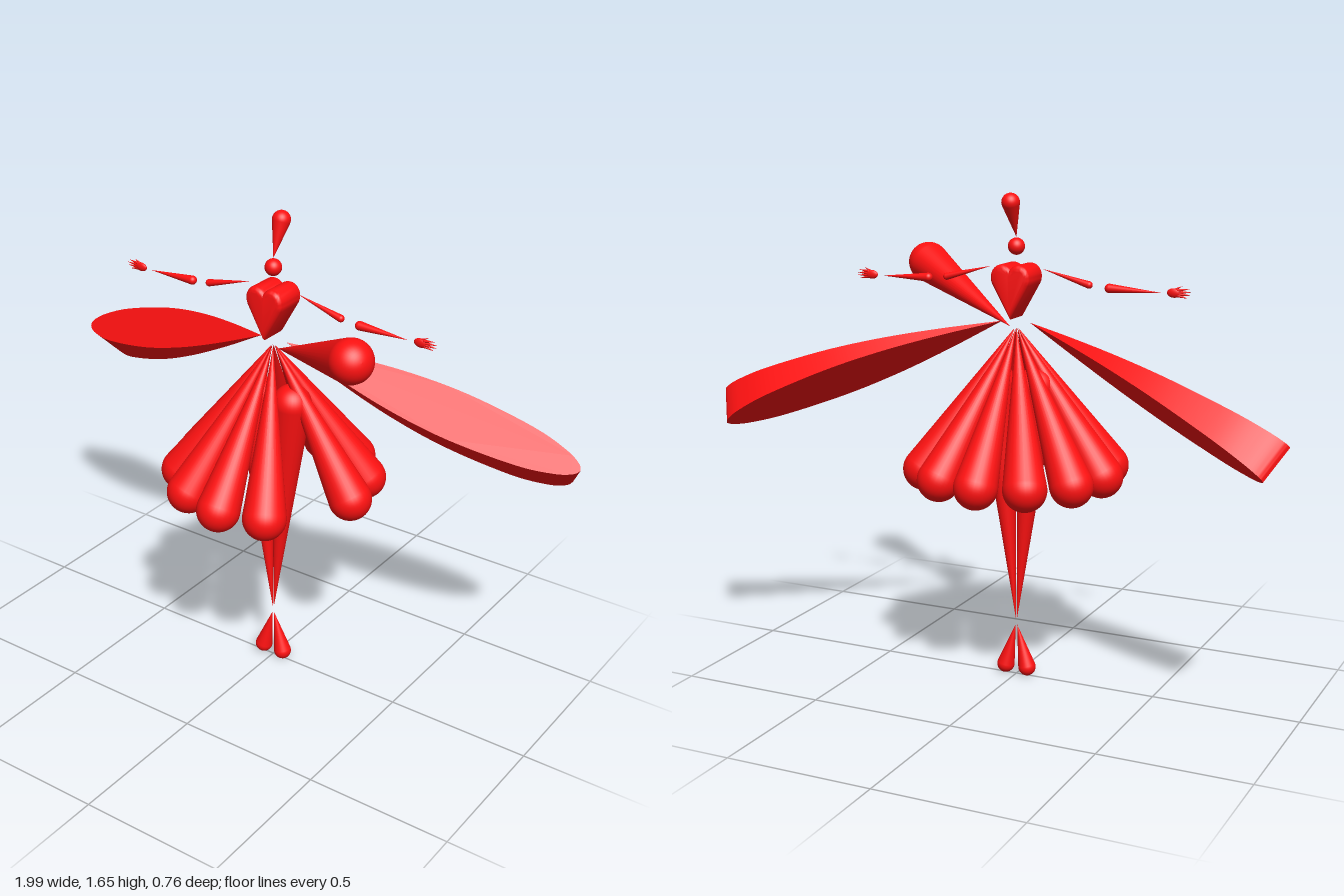
import * as THREE from 'three';
import { toCreasedNormals } from 'three/addons/utils/BufferGeometryUtils.js';

const V = (x, y, z) => new THREE.Vector3(x, y, z);
const UP = V(0, 1, 0);

export function createModel() {
  const model = new THREE.Group();
  model.name = 'dancer';
  const red = new THREE.MeshStandardMaterial({ color: 0xff1111 });

  const add = (name, geometry, parent = model) => {
    const mesh = new THREE.Mesh(geometry, red);
    mesh.name = name;
    parent.add(mesh);
    return mesh;
  };

  // Teardrop: a cone from the tip that runs tangentially into a ball
  function teardrop(name, tip, ball, r, parent = model) {
    const axis = ball.clone().sub(tip);
    const length = axis.length();
    const start = -Math.asin(r / length);
    const profile = [new THREE.Vector2(0, 0)];
    for (let i = 0; i <= 14; i++) {
      const a = start + (Math.PI / 2 - start) * i / 14;
      profile.push(new THREE.Vector2(i === 14 ? 0 : r * Math.cos(a), length + r * Math.sin(a)));
    }
    const mesh = add(name, new THREE.LatheGeometry(profile, 32), parent);
    mesh.position.copy(tip);
    mesh.quaternion.setFromUnitVectors(UP, axis.normalize());
    return mesh;
  }

  // Head and swept-back topknot
  add('head', new THREE.SphereGeometry(0.028, 32, 20)).position.set(0, 1.475, 0);
  teardrop('topknot', V(0, 1.505, 0), V(0, 1.62, -0.044), 0.03);

  // Heart-shaped bodice with rounded edges
  const heart = new THREE.Shape();
  heart.moveTo(0, 1.265);
  heart.lineTo(0.049, 1.36);
  heart.bezierCurveTo(0.066, 1.395, 0.025, 1.425, 0, 1.378);
  heart.bezierCurveTo(-0.025, 1.425, -0.066, 1.395, -0.049, 1.36);
  heart.lineTo(0, 1.265);
  const bodice = new THREE.ExtrudeGeometry(heart, {
    depth: 0.084, bevelEnabled: true, bevelSize: 0.017, bevelThickness: 0.02,
    bevelSegments: 5, curveSegments: 16,
  });
  bodice.translate(0, 0, -0.042);
  add('bodice', toCreasedNormals(bodice, 0.7));

  // Skirt of twelve petals; the one at the front left is kicked up
  const skirt = new THREE.Group();
  skirt.name = 'skirt';
  model.add(skirt);
  for (let i = 0; i < 12; i++) {
    const a = i * Math.PI / 6;
    if (i === 2) {
      teardrop('raisedPetal', V(0.03, 1.208, 0.015), V(0.465, 1.372, 0.265), 0.07, skirt);
      continue;
    }
    const s = Math.sin(a), c = Math.cos(a);
    teardrop('petal', V(0.008 * s, 1.205, 0.008 * c), V(0.307 * s, 0.737, 0.307 * c), 0.072, skirt);
  }

  // Wing outline: half-width against distance along the wing
  const outline = [[0.083, 0.6], [0.07, 0.82], [0.045, 0.94], [0.02, 0.995]];
  const leafCurve = new THREE.SplineCurve([
    [0, 0], [0.042, 0.2], [0.072, 0.4], ...outline, [0, 1.01],
  ].map(p => new THREE.Vector2(...p))).getPoints(40);
  const leaf = new THREE.Shape([
    ...leafCurve,
    ...leafCurve.slice(1, -1).reverse().map(p => new THREE.Vector2(-p.x, p.y)),
  ]);

  for (const side of [-1, 1]) {
    const label = side > 0 ? 'left' : 'right';

    // Leaf-shaped wing, a wedge that thickens towards its end
    const geo = new THREE.ExtrudeGeometry(leaf, { depth: 1, bevelEnabled: false });
    const pos = geo.attributes.position;
    for (let i = 0; i < pos.count; i++) {
      pos.setZ(i, (pos.getZ(i) - 0.5) * 0.132 * pos.getY(i));
    }
    geo.computeVertexNormals();
    const along = V(side * 0.92, -0.32, -0.272).normalize();
    const thick = V(side * -0.46, -0.69, -0.58);
    thick.addScaledVector(along, -thick.dot(along)).normalize();
    const wide = along.clone().cross(thick);
    geo.applyMatrix4(new THREE.Matrix4().makeBasis(wide, along, thick));
    geo.translate(side * 0.05, 1.228, -0.003);
    add(label + 'Wing', toCreasedNormals(geo, 0.6));

    // Arm
    teardrop(label + 'UpperArm', V(side * 0.093, 1.406, 0), V(side * 0.256, 1.363, 0), 0.012);
    teardrop(label + 'Forearm', V(side * 0.5, 1.352, 0), V(side * 0.326, 1.356, 0), 0.015);

    // Hand with spread fingers
    const hand = new THREE.Group();
    hand.name = label + 'Hand';
    hand.position.set(side * 0.52, 1.354, 0);
    model.add(hand);
    const palm = add('palm', new THREE.SphereGeometry(1, 20, 12), hand);
    palm.scale.set(0.023, 0.015, 0.008);
    palm.position.x = side * 0.023;
    const fingers = [
      [0.022, 0.008, 0.05, 0.023], [0.036, 0.009, 0.074, 0.015], [0.038, 0.003, 0.084, 0.005],
      [0.038, -0.003, 0.08, -0.005], [0.036, -0.008, 0.07, -0.015],
    ];
    fingers.forEach(([x0, y0, x1, y1], i) => {
      teardrop(i ? 'finger' : 'thumb', V(side * x1, y1, 0), V(side * x0, y0, 0), 0.0052, hand);
    });

    // Leg tapering to the ankle, and pointed slipper below it
    teardrop(label + 'Leg', V(side * 0.002, 0.2, 0), V(side * 0.074, 1.017, 0), 0.066);
    teardrop(label + 'Foot', V(side * 0.003, 0.178, 0), V(side * 0.04, 0.031, 0), 0.03);
  }
  return model;
}
